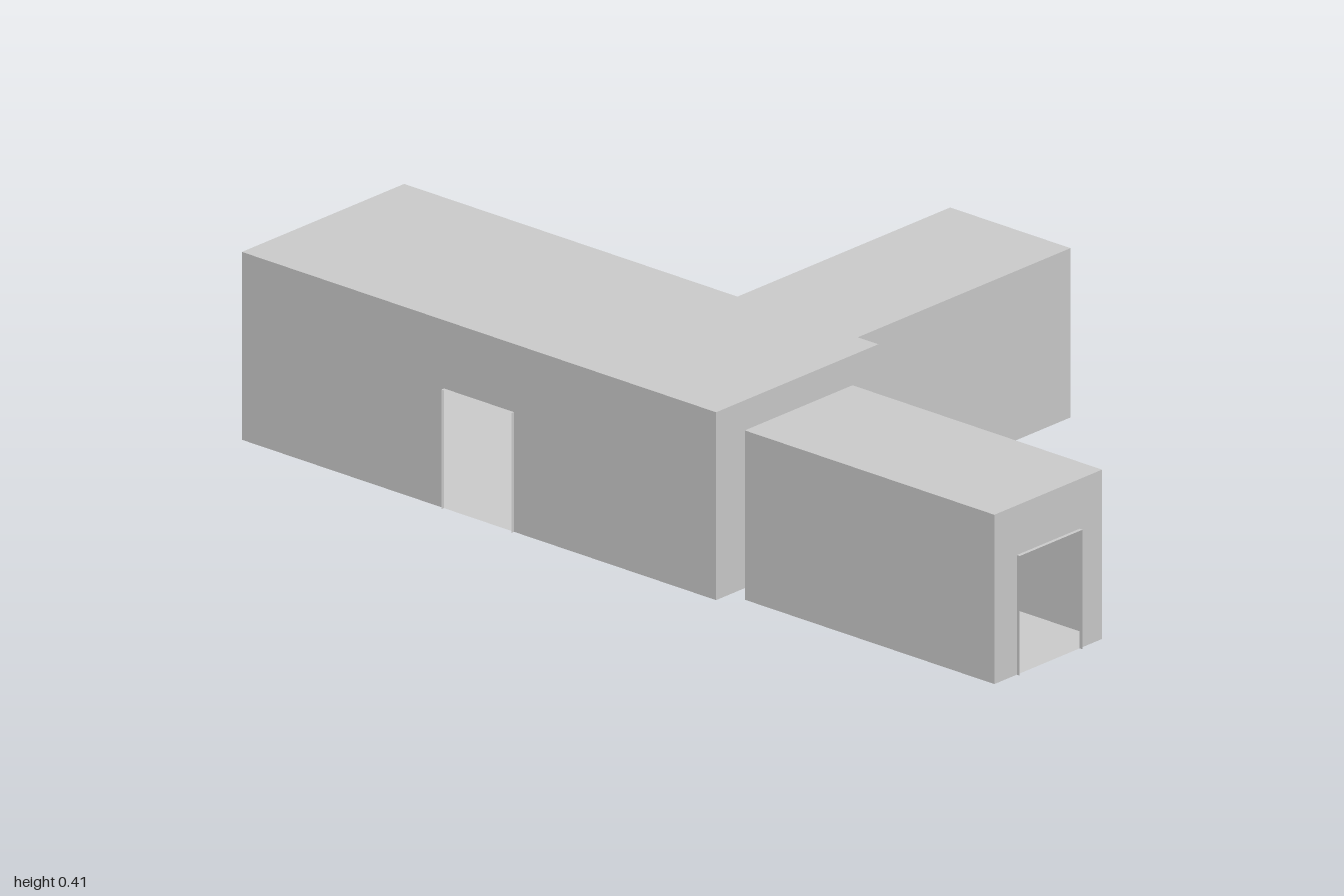
import * as THREE from 'three';

const material = new THREE.MeshStandardMaterial({ color: 0xcccccc, side: THREE.DoubleSide, flatShading: true });
const DOOR_W = 0.188, DOOR_H = 0.258, FRAME = 0.008;

function addMesh(parent, name, geometry) {
  const mesh = new THREE.Mesh(geometry, material);
  mesh.name = name;
  parent.add(mesh);
  return mesh;
}

// Thin wall facing local +z, optionally with a doorway at its centre
function makeWall(name, width, height, hasDoor) {
  const wall = new THREE.Group();
  wall.name = name;
  const w = width / 2, d = DOOR_W / 2;
  const points = [[-w, 0]];
  if (hasDoor) points.push([-d, 0], [-d, DOOR_H], [d, DOOR_H], [d, 0]);
  points.push([w, 0], [w, height], [-w, height]);
  const outline = points.map(([x, y]) => new THREE.Vector2(x, y));
  addMesh(wall, 'wallPanel', new THREE.ShapeGeometry(new THREE.Shape(outline)));

  // Thin frame strips that stand out from the doorway
  if (hasDoor) {
    for (const side of [-1, 1]) {
      const jamb = addMesh(wall, 'doorJamb', new THREE.PlaneGeometry(FRAME, DOOR_H));
      jamb.rotation.y = side * Math.PI / 2;
      jamb.position.set(side * d, DOOR_H / 2, FRAME / 2);
    }
    const lintel = addMesh(wall, 'doorLintel', new THREE.PlaneGeometry(DOOR_W, FRAME));
    lintel.rotation.x = -Math.PI / 2;
    lintel.position.set(0, DOOR_H, FRAME / 2);
  }
  return wall;
}

// Hollow room; doors lists the walls that have a doorway
function makeRoom(name, [x0, x1], [z0, z1], height, doors) {
  const room = new THREE.Group();
  room.name = name;
  const sx = x1 - x0, sz = z1 - z0;
  room.position.set((x0 + x1) / 2, 0, (z0 + z1) / 2);

  ['front', 'left', 'back', 'right'].forEach((side, i) => {
    const alongX = i % 2 === 0;
    const wall = makeWall(side + 'Wall', alongX ? sx : sz, height, doors.includes(side));
    const angle = i * Math.PI / 2;
    wall.rotation.y = angle;
    wall.position.set(Math.sin(angle) * sx / 2, 0, Math.cos(angle) * sz / 2);
    room.add(wall);
  });

  // Floor and ceiling
  const floor = addMesh(room, 'floor', new THREE.PlaneGeometry(sx, sz));
  floor.rotation.x = Math.PI / 2;
  const ceiling = addMesh(room, 'ceiling', new THREE.PlaneGeometry(sx, sz));
  ceiling.rotation.x = -Math.PI / 2;
  ceiling.position.y = height;
  return room;
}

export function createModel() {
  const model = new THREE.Group();
  model.name = 'corridorRooms';
  model.add(
    makeRoom('mainHall', [-0.992, 0.281], [0.112, 0.597], 0.405, ['front', 'back', 'left', 'right']),
    makeRoom('sideCorridor', [0.322, 0.992], [0.235, 0.557], 0.365, ['left', 'right']),
    makeRoom('backCorridor', [-0.163, 0.16], [-0.597, 0.072], 0.365, ['front', 'back']),
  );
  return model;
}
